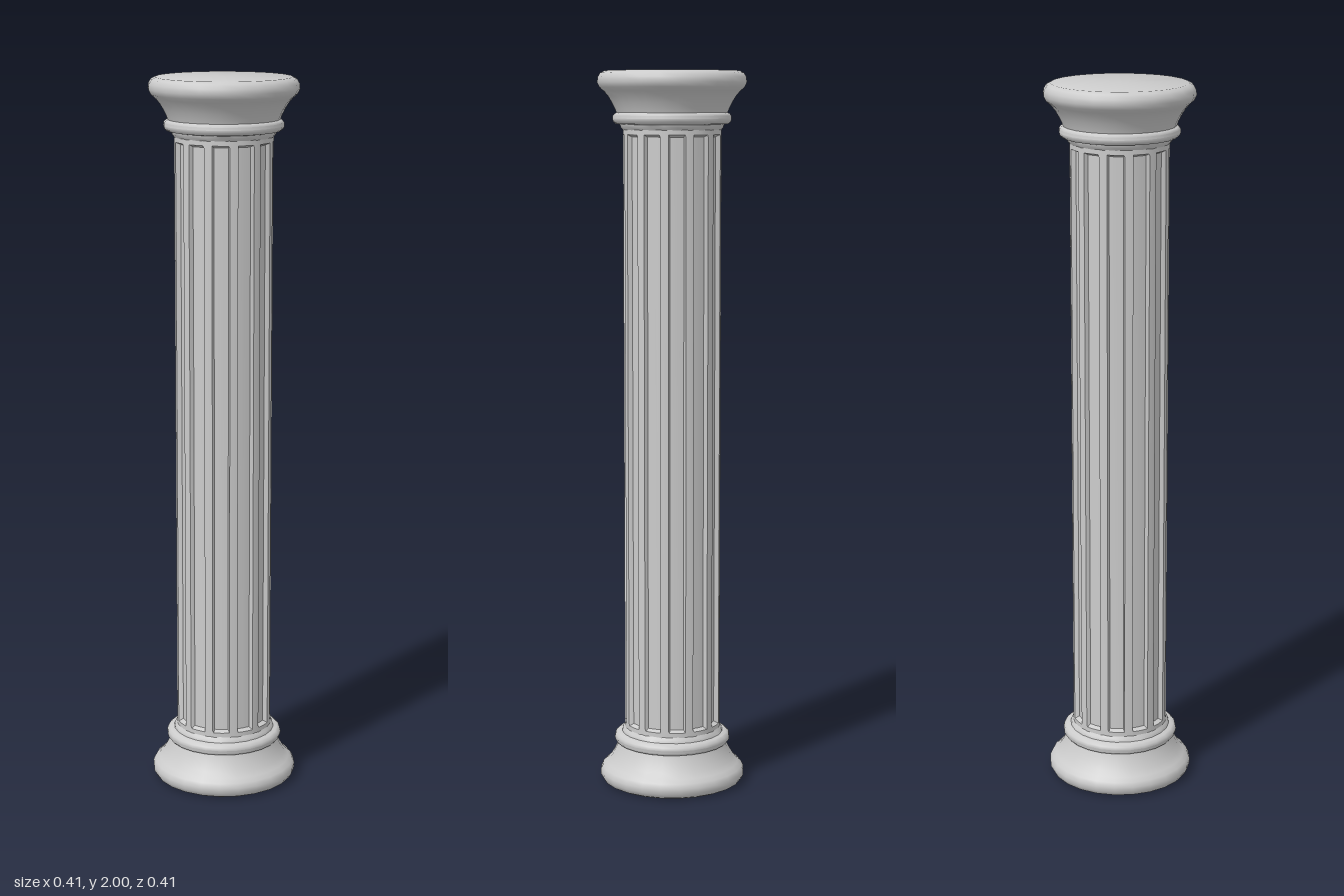
import * as THREE from 'three';
import { toCreasedNormals } from 'three/addons/utils/BufferGeometryUtils.js';

const SIDES = 24, FLUTES = 12;
const SHAFT_R = 0.135, FLUTE_R = 0.122;

// Half profile of the moulding: foot, cove, ring and neck (radius, height)
const MOULDING = [
  [0, 0], [0.185, 0], [0.197, 0.006], [0.204, 0.018], [0.205, 0.032], [0.199, 0.045],
  [0.187, 0.055], [0.175, 0.069], [0.165, 0.086], [0.157, 0.102], [0.153, 0.113],
  [0.158, 0.115], [0.163, 0.121], [0.164, 0.129], [0.162, 0.137], [0.155, 0.143],
  [0.143, 0.145], [0.141, 0.153], [0.135, 0.160],
];

function mouldingGeometry() {
  const points = MOULDING.map(([r, y]) => new THREE.Vector2(r, y));
  return toCreasedNormals(new THREE.LatheGeometry(points, SIDES), 0.9);
}

// Shaft: stacked rings, plain at both ends and fluted between
function shaftGeometry() {
  // One flute: degrees from the ridge centre, and whether the point is sunk
  const flute = [[0, 0], [4.8, 0], [6, 1], [15, 1], [24, 1], [25.2, 0]];
  const levels = [[0.14, 0], [0.172, 0], [0.178, 1], [1.822, 1], [1.828, 0], [1.86, 0]];
  const positions = [], indices = [];
  const count = FLUTES * flute.length;

  for (const [y, fluted] of levels) {
    for (let i = 0; i < FLUTES; i++) {
      for (const [degrees, sunk] of flute) {
        const a = THREE.MathUtils.degToRad(i * 360 / FLUTES + degrees);
        const r = fluted && sunk ? FLUTE_R : SHAFT_R;
        positions.push(r * Math.sin(a), y, r * Math.cos(a));
      }
    }
  }
  for (let j = 0; j < levels.length - 1; j++) {
    for (let i = 0; i < count; i++) {
      const a = j * count + i, b = j * count + (i + 1) % count;
      indices.push(a, b, a + count, b, b + count, a + count);
    }
  }
  const geometry = new THREE.BufferGeometry();
  geometry.setAttribute('position', new THREE.Float32BufferAttribute(positions, 3));
  geometry.setIndex(indices);
  return toCreasedNormals(geometry, 0.6);
}

export function createModel() {
  const model = new THREE.Group();
  model.name = 'column';
  const material = new THREE.MeshStandardMaterial({ color: 0xcccccc });

  const add = (name, geometry) => {
    const mesh = new THREE.Mesh(geometry, material);
    mesh.name = name;
    model.add(mesh);
    return mesh;
  };

  const moulding = mouldingGeometry();
  add('base', moulding);
  add('flutedShaft', shaftGeometry());

  // The capital is the base turned upside down
  const capital = add('capital', moulding);
  capital.rotation.x = Math.PI;
  capital.position.y = 2;

  return model;
}
